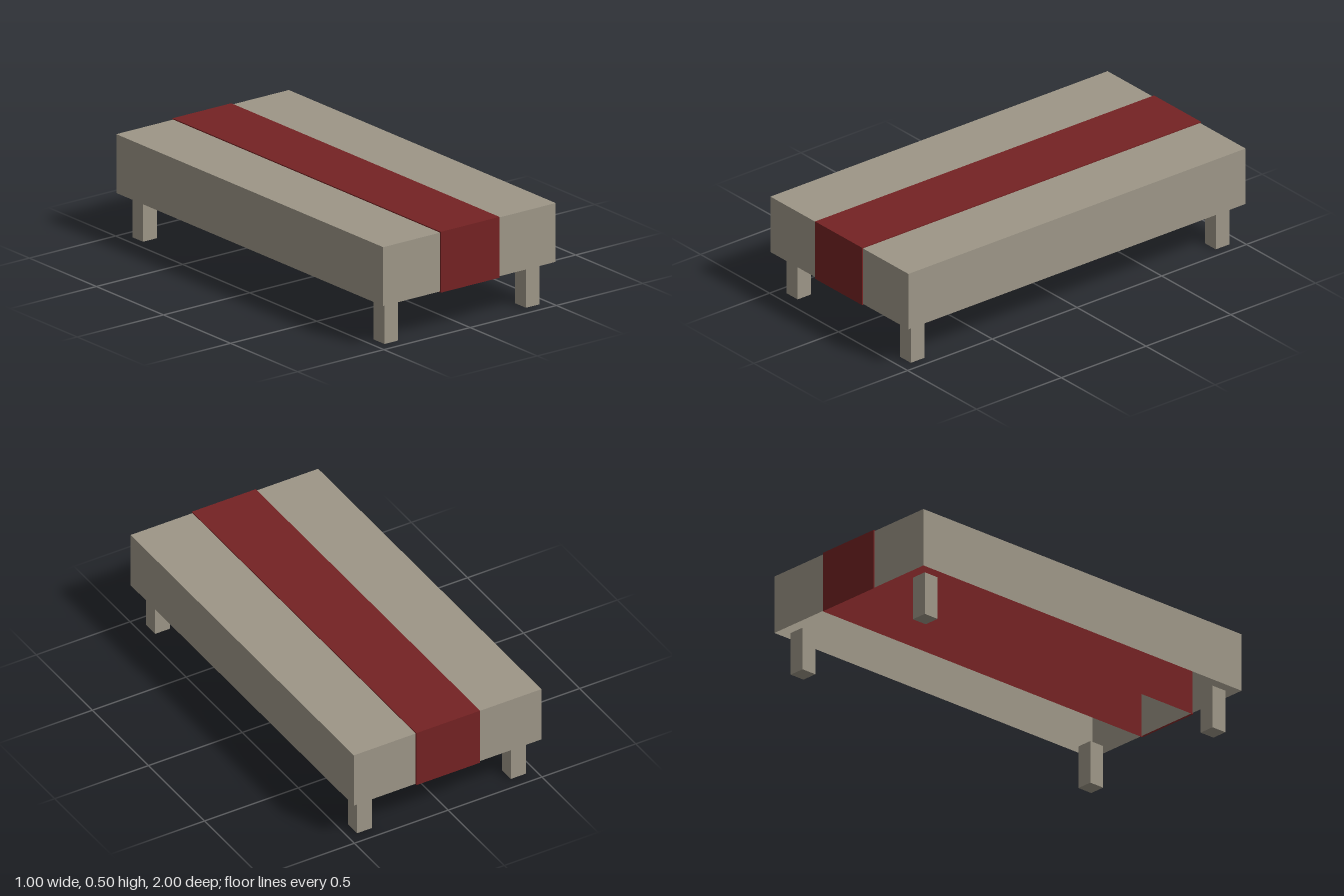
import * as THREE from 'three';

const beige = new THREE.MeshStandardMaterial({ color: 0x9d9687, side: THREE.DoubleSide });
beige.name = 'beige';
const darkRed = new THREE.MeshStandardMaterial({ color: 0x742223, side: THREE.DoubleSide });
darkRed.name = 'dark red';

// Box shell with thin walls and no underside
function openShell(name, material, width, depth, bottom, top) {
  const geometry = new THREE.BoxGeometry(width, top - bottom, depth);
  const index = Array.from(geometry.index.array);
  index.splice(18, 6); // drop the bottom face
  geometry.setIndex(index);
  geometry.clearGroups();
  const mesh = new THREE.Mesh(geometry, material);
  mesh.name = name;
  mesh.position.y = (bottom + top) / 2;
  return mesh;
}

export function createModel() {
  const model = new THREE.Group();
  model.name = 'lowTable';

  // Hollow body with a slightly larger hollow band running along its length
  model.add(openShell('body', beige, 1, 1.99, 0.21, 0.495));
  model.add(openShell('centreBand', darkRed, 0.34, 2, 0.205, 0.5));

  // Four square legs
  const legGeometry = new THREE.BoxGeometry(0.08, 0.21, 0.08);
  for (const [zSide, end] of [[1, 'front'], [-1, 'back']]) {
    for (const [xSide, side] of [[1, 'Left'], [-1, 'Right']]) {
      const leg = new THREE.Mesh(legGeometry, beige);
      leg.name = `${end}${side}Leg`;
      leg.position.set(xSide * 0.41, 0.105, zSide * 0.9);
      model.add(leg);
    }
  }
  return model;
}
